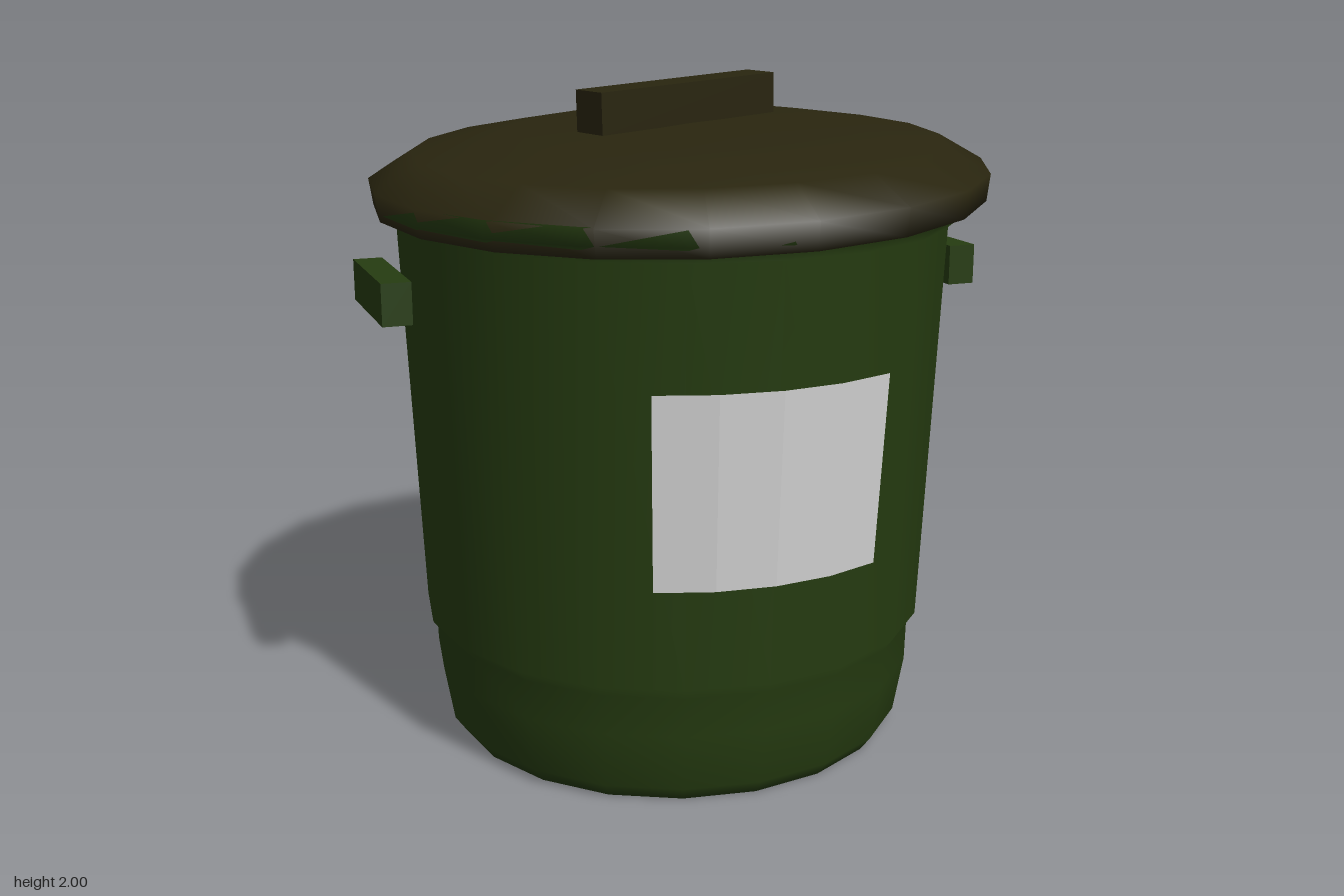
import * as THREE from 'three';

const SIDES = 20;

function material(name, color) {
  const m = new THREE.MeshStandardMaterial({ color });
  m.name = name;
  return m;
}

function part(name, geometry, mat, x = 0, y = 0, z = 0) {
  const mesh = new THREE.Mesh(geometry, mat);
  mesh.name = name;
  mesh.position.set(x, y, z);
  return mesh;
}

const lathe = (points) =>
  new THREE.LatheGeometry(points.map(([r, y]) => new THREE.Vector2(r, y)), SIDES);

export function createModel() {
  const green = material('dark green', 0x263c11);
  const brown = material('dark olive brown', 0x29250f);
  const white = material('label white', 0xd2d2d2);
  white.side = THREE.DoubleSide;

  const model = new THREE.Group();
  model.name = 'bin';

  // Body with side handles and label, slightly off the lid's axis
  const body = new THREE.Group();
  body.name = 'body';
  body.position.set(-0.018, 0, 0.025);
  model.add(body);

  // Tapered tub: stepped foot, long wall, flared rim
  body.add(part('tub', lathe([
    [0, 0], [0.69, 0], [0.722, 0.045], [0.752, 0.22], [0.755, 0.34],
    [0.78, 0.375], [0.832, 1.58], [0.89, 1.63], [0.89, 1.68],
  ]), green));

  // Side handles
  for (const [name, side] of [['leftHandle', 1], ['rightHandle', -1]]) {
    body.add(part(name, new THREE.BoxGeometry(0.086, 0.122, 0.42), green, side * 0.89, 1.41, 0));
  }

  // Curved label on the front, faceted like the tub
  const half = 0.424;
  const label = new THREE.CylinderGeometry(0.845, 0.809, 0.56, 4, 1, true, -half, half * 2).toNonIndexed();
  label.computeVertexNormals();
  body.add(part('label', label, white, 0, 0.957, 0));

  // Lid sits a little crooked
  const lid = new THREE.Group();
  lid.name = 'lid';
  lid.position.set(0.013, 1.722, 0);
  lid.rotation.set(0.035, 0.033, 0.035);
  model.add(lid);

  lid.add(part('lidDome', lathe([
    [0, -0.082], [0.86, -0.082], [0.922, -0.08], [0.932, 0],
    [0.8, 0.078], [0.5, 0.13], [0, 0.142],
  ]), brown));

  // Bar grip across the lid
  const grip = part('lidGrip', new THREE.BoxGeometry(0.676, 0.122, 0.119), brown, 0.004, 0.2, 0);
  grip.rotation.y = 0.313;
  lid.add(grip);

  return model;
}
